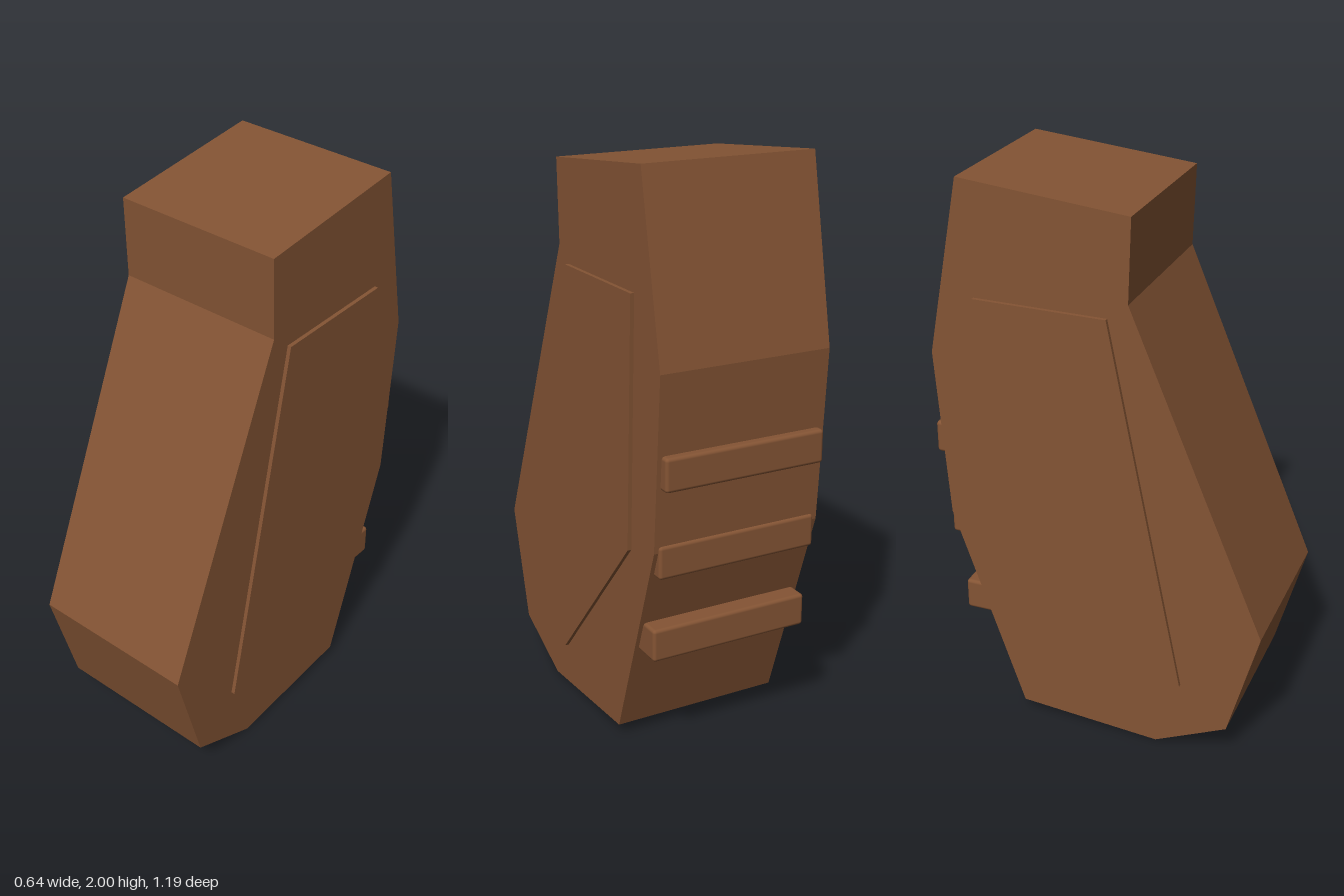
import * as THREE from 'three';
import { RoundedBoxGeometry } from 'three/addons/geometries/RoundedBoxGeometry.js';

// Extrude a side profile of [z, y] points evenly across x
function sideExtrusion(points, width) {
  const shape = new THREE.Shape(points.map(([z, y]) => new THREE.Vector2(z, y)));
  const geometry = new THREE.ExtrudeGeometry(shape, { depth: width, bevelEnabled: false });
  geometry.translate(0, 0, -width / 2);
  geometry.rotateY(-Math.PI / 2);
  return geometry;
}

export function createModel() {
  const model = new THREE.Group();
  model.name = 'grip';
  const brown = new THREE.MeshStandardMaterial({ color: 0x845434 });
  brown.name = 'brown';

  const add = (name, geometry) => {
    const mesh = new THREE.Mesh(geometry, brown);
    mesh.name = name;
    model.add(mesh);
    return mesh;
  };

  // Faceted body
  add('body', sideExtrusion([
    [0.13, 1.94], [-0.46, 2.0], [-0.58, 1.39], [-0.54, 0.79], [-0.285, 0.045],
    [0.225, 0.005], [0.485, 0.125], [0.595, 0.525], [0.12, 1.655],
  ], 0.61).translate(0, 0, 0));

  // Raised panel on each side
  const panel = [[0.05, 1.6], [-0.415, 1.605], [-0.385, 0.745], [0.12, 0.165], [0.315, 0.27]];
  for (const [name, side] of [['leftPanel', 1], ['rightPanel', -1]]) {
    add(name, sideExtrusion(panel, 0.033)).position.x = side * 0.302;
  }

  // Finger ridges across the back
  const depth = 0.16;
  [[1.065, -0.592], [0.755, -0.55], [0.445, -0.51]].forEach(([y, back], i) => {
    add(`backRidge${i + 1}`, new RoundedBoxGeometry(0.58, 0.115, depth, 2, 0.012))
      .position.set(0, y, back + depth / 2);
  });

  return model;
}
